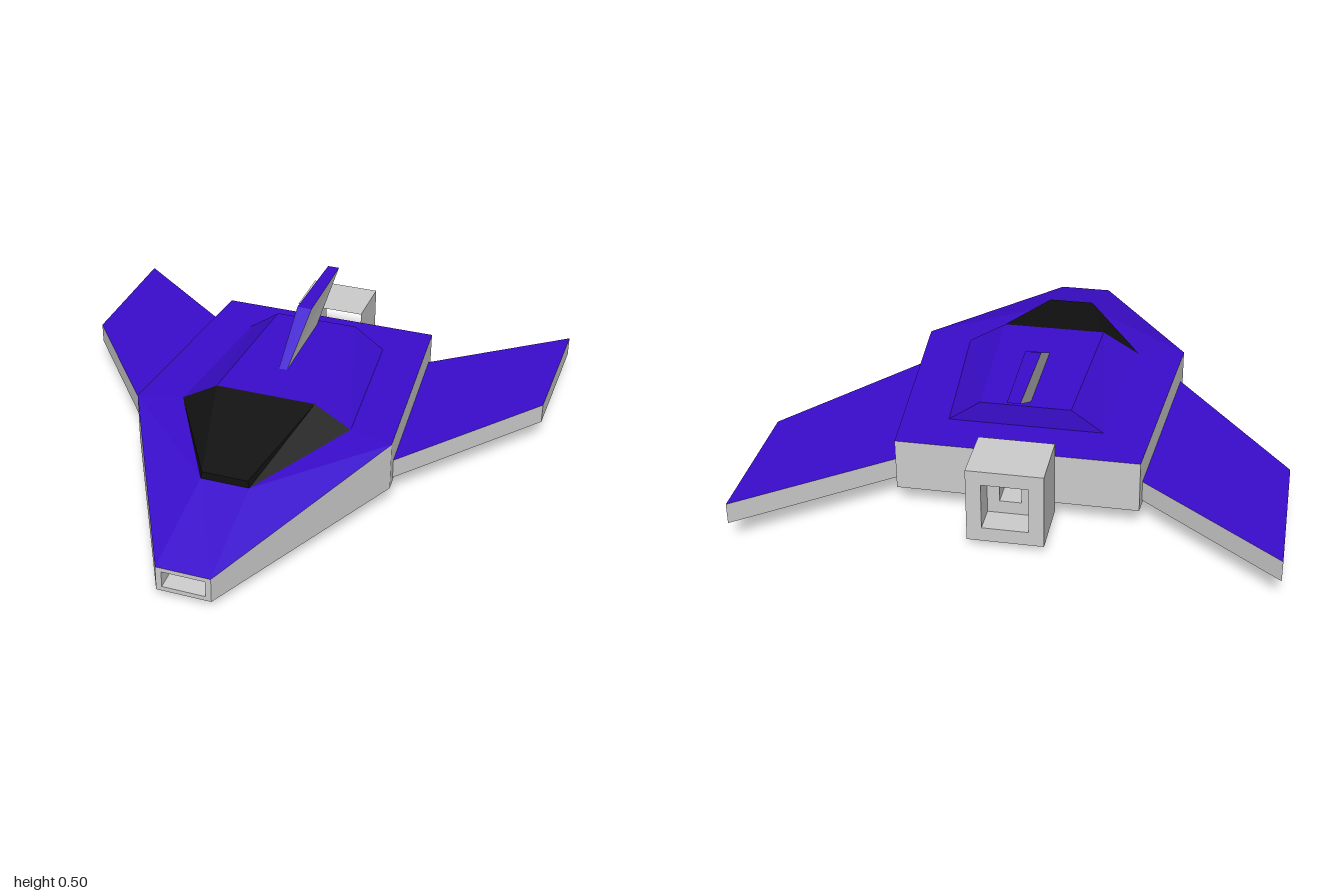
import * as THREE from 'three';

const GREY = 0xcccccc, BLUE = 0x3a0ccc, BLACK = 0x111111;

// Flat-shaded mesh from convex polygons, corners counter-clockwise from outside
function facets(name, color, polys) {
  const pos = [];
  for (const p of polys)
    for (let i = 1; i < p.length - 1; i++) pos.push(...p[0], ...p[i], ...p[i + 1]);
  const geo = new THREE.BufferGeometry();
  geo.setAttribute('position', new THREE.Float32BufferAttribute(pos, 3));
  geo.computeVertexNormals();
  const mesh = new THREE.Mesh(geo, new THREE.MeshStandardMaterial({ color, flatShading: true }));
  mesh.name = name;
  return mesh;
}

const flip = ([x, y, z]) => [-x, y, z];
const mirror = (poly) => poly.map(flip).reverse();
const both = (polys) => [...polys, ...polys.map(mirror)];
// Closed loop from the +x half, listed front to back
const sym = (half) => [...half, ...mirror(half)];
const atY = (pts, y) => pts.map(([x, z]) => [x, y, z]);
// Quads joining two loops
const ring = (a, b) => a.map((p, i) => {
  const j = (i + 1) % a.length;
  return [p, a[j], b[j], b[i]];
});
// Rectangle facing z; a negative half width turns it to face the rear
const rect = (w, y0, y1, z) => [[-w, y0, z], [w, y0, z], [w, y1, z], [-w, y1, z]];
// Chain of loops closed by a cap
const socket = (loops) => [
  ...loops.slice(1).flatMap((l, i) => ring(loops[i], l)),
  loops[loops.length - 1],
];

// Solid between a lower and an upper loop, with separate colours
function loft(name, lower, upper, { top = GREY, side = GREY, bottom = GREY }) {
  const group = new THREE.Group();
  group.name = name;
  group.add(
    facets(name + 'Top', top, [upper]),
    facets(name + 'Sides', side, ring(lower, upper)),
    facets(name + 'Bottom', bottom, [[...lower].reverse()]),
  );
  return group;
}

export function createModel() {
  const model = new THREE.Group();
  model.name = 'spacecraft';

  // Hull corners on the +x side
  const nose = [0.105, 0.125, 1], shoulder = [0.52, 0.275, 0.2], rear = [0.45, 0.275, -0.65];
  const noseLow = [0.105, 0.025, 1], shoulderLow = [0.52, 0.075, 0.2], rearLow = [0.45, 0.075, -0.65];
  const canopyFront = [0.095, 0.235, 0.59], canopyRear = [0.345, 0.275, 0.155];

  // Hull
  const hull = new THREE.Group();
  hull.name = 'hull';
  hull.add(
    facets('hullDeck', BLUE, [
      [nose, canopyFront, flip(canopyFront), flip(nose)],
      [canopyRear, rear, flip(rear), flip(canopyRear)],
      ...both([
        [nose, shoulder, canopyFront],
        [shoulder, canopyRear, canopyFront],
        [canopyRear, shoulder, rear],
      ]),
    ]),
    facets('hullSides', GREY, [
      ...both([
        [noseLow, shoulderLow, shoulder, nose],
        [shoulderLow, rearLow, rear, shoulder],
      ]),
      [rearLow, flip(rearLow), flip(rear), rear],
    ]),
    facets('hullBelly', GREY, [
      [noseLow, flip(noseLow), flip(shoulderLow), shoulderLow],
      [shoulderLow, flip(shoulderLow), flip(rearLow), rearLow],
    ]),
    // Slot recessed into the nose
    facets('noseIntake', GREY, socket([
      rect(0.105, 0.025, 0.125, 1),
      rect(0.083, 0.043, 0.108, 1),
      rect(0.083, 0.05, 0.108, 0.9),
    ])),
  );
  model.add(hull);

  // Canopy and the raised spine behind it
  const spineFront = [0.2, 0.36, 0.155];
  model.add(loft('canopy', sym([canopyFront, canopyRear]),
    sym([[0.09, 0.265, 0.59], spineFront]), { top: BLACK, side: BLACK, bottom: BLACK }));
  model.add(loft('spine', sym([canopyRear, [0.29, 0.275, -0.465]]),
    sym([spineFront, [0.17, 0.36, -0.465]]), { top: BLUE, side: BLUE, bottom: BLUE }));

  // Swept tail fin
  const finLow = sym([[0.017, 0.36, -0.045], [0.014, 0.36, -0.43]]);
  const finHigh = sym([[0.03, 0.5, -0.305], [0.024, 0.5, -0.685]]);
  const finSides = ring(finLow, finHigh);
  const fin = new THREE.Group();
  fin.name = 'tailFin';
  fin.add(
    facets('finSides', GREY, [finSides[0], finSides[2]]),
    facets('finEdges', BLUE, [finSides[1], finSides[3], finHigh]),
  );
  model.add(fin);

  // Square engine nozzle with a stepped opening
  model.add(facets('engineNozzle', GREY, socket([
    rect(-0.14, 0.03, 0.32, -0.64),
    rect(-0.14, 0.03, 0.32, -0.865),
    rect(-0.085, 0.085, 0.265, -0.865),
    rect(-0.085, 0.085, 0.265, -0.76),
    rect(-0.04, 0.135, 0.215, -0.76),
    rect(-0.04, 0.135, 0.215, -0.67),
  ])));

  // Wings with a raised panel underneath
  const wing = [[0.515, 0.15], [0.975, -0.43], [0.975, -1], [0.445, -0.595]];
  const panel = [[0.54, -0.06], [0.88, -0.4], [0.88, -0.8], [0.54, -0.54]];
  const panelFace = [[0.59, -0.16], [0.83, -0.42], [0.83, -0.72], [0.59, -0.52]];
  for (const [side, place] of [['left', (l) => l], ['right', mirror]]) {
    model.add(loft(side + 'Wing', place(atY(wing, 0.09)), place(atY(wing, 0.17)), { top: BLUE }));
    model.add(loft(side + 'WingPanel', place(atY(panelFace, 0.06)), place(atY(panel, 0.09)),
      { side: BLUE }));
  }

  // Belly panels
  model.add(loft('bellyPanel',
    sym(atY([[0.13, -0.07], [0.13, -0.36]], 0)),
    sym(atY([[0.31, 0.04], [0.31, -0.46]], 0.076)), { side: BLUE }));
  model.add(loft('noseBellyPanel',
    sym([[0.045, 0.01, 0.72], [0.15, 0.03, 0.43]]),
    sym([[0.06, 0.038, 0.82], [0.25, 0.065, 0.38]]), { side: BLUE }));

  return model;
}
